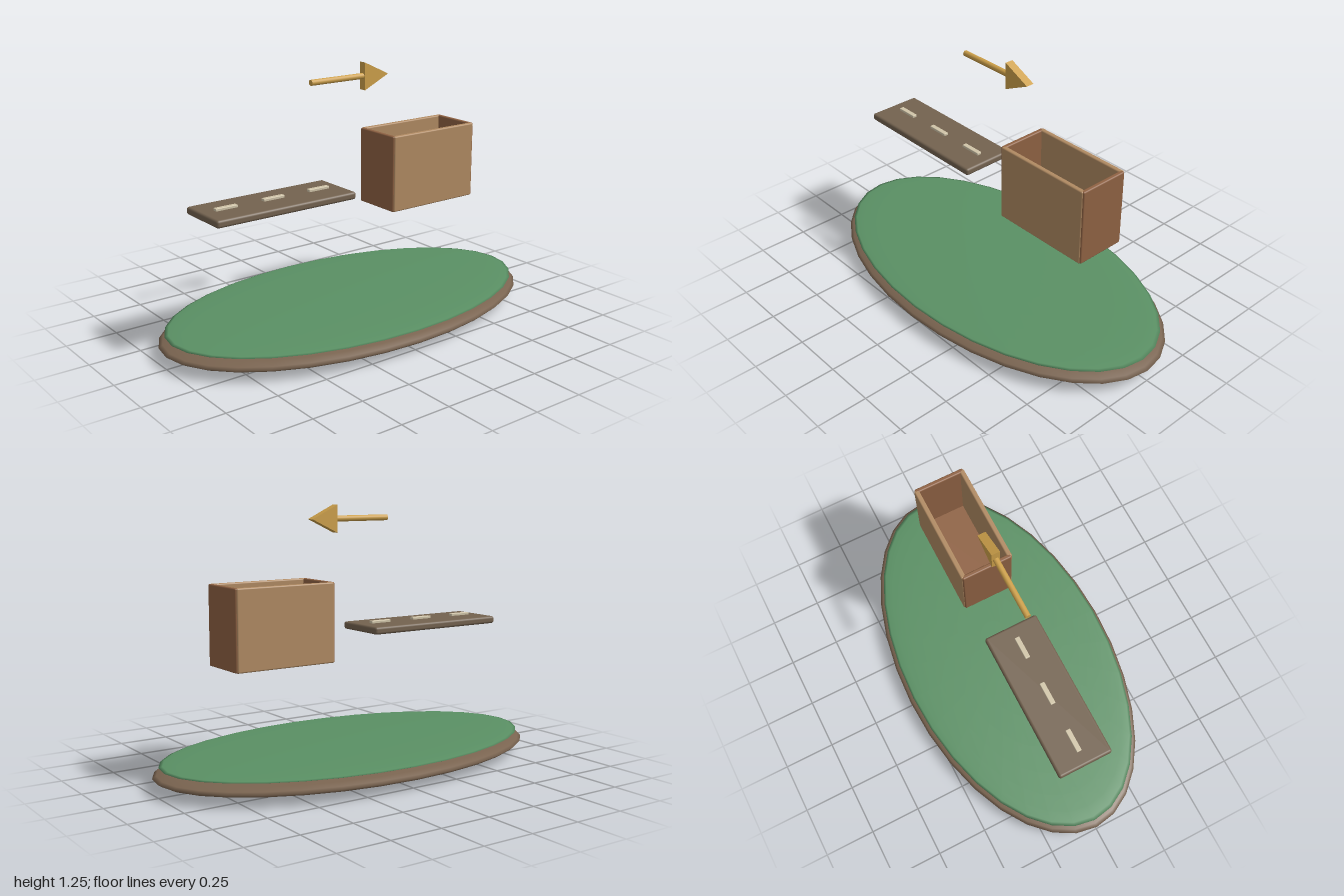
import * as THREE from 'three';
import { RoundedBoxGeometry } from 'three/addons/geometries/RoundedBoxGeometry.js';

const mat = (color) => new THREE.MeshStandardMaterial({ color });
const soil = mat(0x7a6450), grass = mat(0x5a9064), tan = mat(0xb08a62), sienna = mat(0x8f6243);
const stone = mat(0x73624f), cream = mat(0xd0c4a8), gold = mat(0xcda04a);

function add(parent, name, geometry, material, x, y, z) {
  const mesh = new THREE.Mesh(geometry, material);
  mesh.name = name;
  mesh.position.set(x, y, z);
  parent.add(mesh);
  return mesh;
}

const slab = (w, h, d, r) => new RoundedBoxGeometry(w, h, d, 3, r);

export function createModel() {
  const model = new THREE.Group();
  model.name = 'islandScene';

  // Flattened island with a thin grass layer
  const disc = (rx, ry, rz) => new THREE.SphereGeometry(1, 32, 16).scale(rx, ry, rz);
  add(model, 'islandBase', disc(1, 0.058, 0.545), soil, 0, 0.058, 0);
  add(model, 'grassLayer', disc(0.97, 0.019, 0.525), grass, 0, 0.104, 0);

  // Floating road slab with three dashes
  const road = new THREE.Group();
  road.name = 'road';
  model.add(road);
  add(road, 'roadSlab', slab(0.74, 0.036, 0.27, 0.012), stone, -0.428, 0.657, 0);
  for (let i = 0; i < 3; i++) {
    add(road, 'roadDash', slab(0.112, 0.014, 0.024, 0.003), cream, -0.676 + i * 0.248, 0.68, 0);
  }

  // Open-topped crate
  const crate = new THREE.Group();
  crate.name = 'crate';
  crate.position.x = 0.423;
  model.add(crate);
  for (const s of [1, -1]) {
    add(crate, s > 0 ? 'frontWall' : 'backWall', slab(0.5, 0.37, 0.024, 0.007), tan, 0, 0.715, s * 0.118);
    add(crate, s > 0 ? 'leftWall' : 'rightWall', slab(0.022, 0.37, 0.25, 0.007), sienna, s * 0.246, 0.715, 0);
  }
  add(crate, 'crateFloor', slab(0.495, 0.024, 0.24, 0.007), sienna, 0, 0.54, 0);

  // Arrow pointing toward +x
  const arrow = new THREE.Group();
  arrow.name = 'arrow';
  arrow.position.y = 1.18;
  model.add(arrow);
  const shaft = new THREE.CylinderGeometry(0.014, 0.014, 0.3, 16).rotateZ(Math.PI / 2);
  add(arrow, 'arrowShaft', shaft, gold, -0.065, 0, 0);
  const tri = new THREE.Shape([[0.08, -0.065], [0.217, 0], [0.08, 0.065]].map(([x, y]) => new THREE.Vector2(x, y)));
  const head = new THREE.ExtrudeGeometry(tri, { depth: 0.04, bevelEnabled: false });
  add(arrow, 'arrowHead', head, gold, 0, 0, -0.02);

  return model;
}
